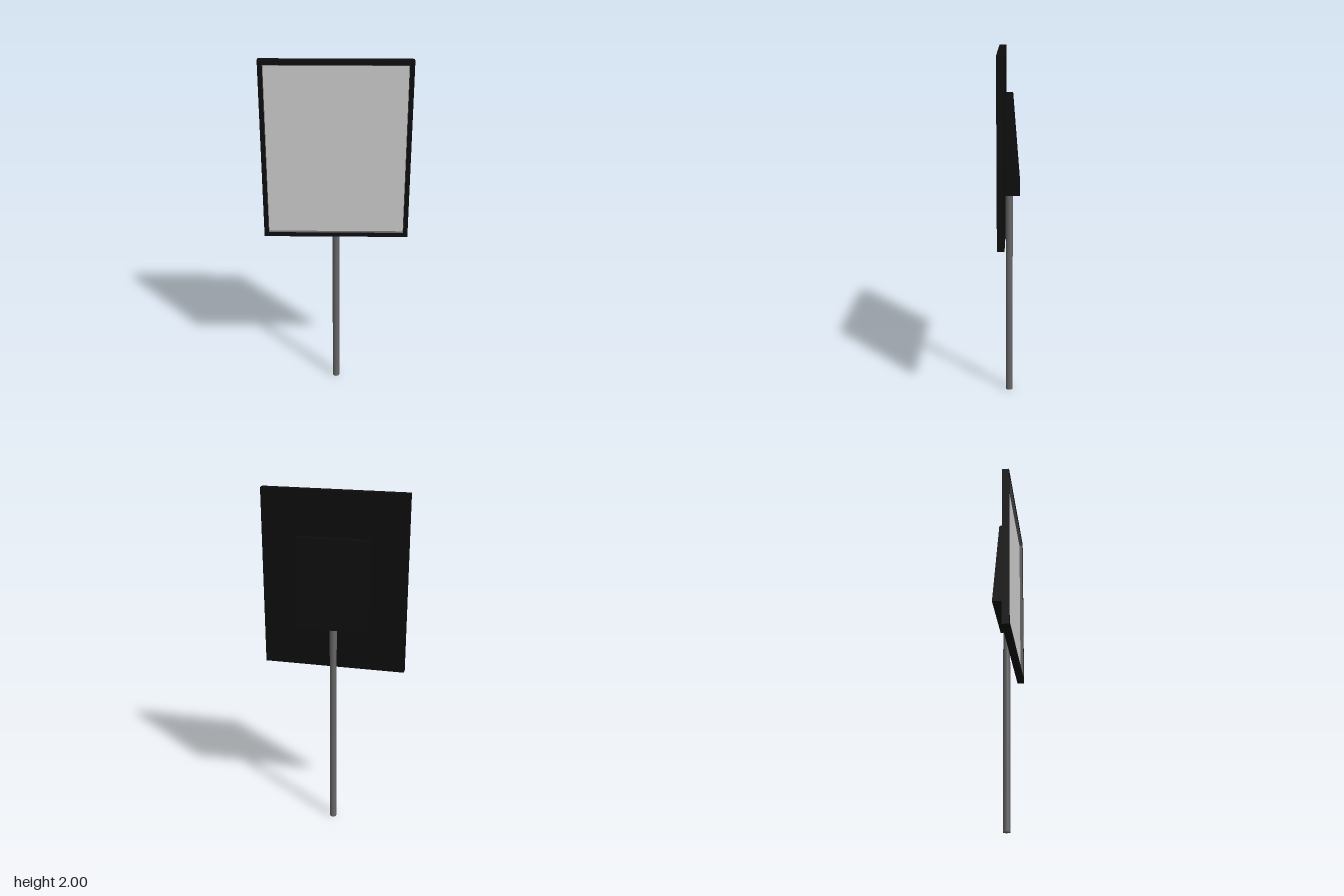
import * as THREE from 'three';

const W = 0.8, H = 1, MID_Y = 1.5;      // panel size and centre height
const BACK = 0.02, SCREEN = 0.04, FRONT = 0.06; // panel depths along z
const BORDER = 0.025;

function mat(color) {
  return new THREE.MeshStandardMaterial({ color });
}

function addMesh(group, name, geometry, material) {
  const mesh = new THREE.Mesh(geometry, material);
  mesh.name = name;
  group.add(mesh);
  return mesh;
}

function rectPath(path, w, h) {
  path.moveTo(-w / 2, -h / 2);
  path.lineTo(w / 2, -h / 2);
  path.lineTo(w / 2, h / 2);
  path.lineTo(-w / 2, h / 2);
  path.closePath();
  return path;
}

// Rectangular ring of the given border width, extruded from z0 to z1
function ring(w, h, border, z0, z1) {
  const shape = rectPath(new THREE.Shape(), w, h);
  shape.holes.push(rectPath(new THREE.Path(), w - 2 * border, h - 2 * border));
  return new THREE.ExtrudeGeometry(shape, { depth: z1 - z0, bevelEnabled: false })
    .translate(0, MID_Y, z0);
}

export function createModel() {
  const model = new THREE.Group();
  model.name = 'displayStand';
  const black = mat(0x0d0d0d), grey = mat(0xcccccc), metal = mat(0x666666);

  // Panel: back plate, raised frame, grey lining of the recess, screen
  addMesh(model, 'backPlate',
    new THREE.BoxGeometry(W, H, SCREEN - BACK).translate(0, MID_Y, (BACK + SCREEN) / 2), black);
  addMesh(model, 'frame', ring(W, H, BORDER, SCREEN, FRONT), black);
  const innerW = W - 2 * BORDER, innerH = H - 2 * BORDER;
  addMesh(model, 'recessLining', ring(innerW, innerH, 0.001, SCREEN, FRONT - 0.001), metal);
  addMesh(model, 'screen',
    new THREE.PlaneGeometry(innerW, innerH).translate(0, MID_Y, SCREEN + 0.001), grey);

  // Wedge housing on the back, thicker at the bottom: profile in (z, y)
  const profile = new THREE.Shape([[-0.06, 1.25], [BACK, 1.25], [BACK, 1.75], [-0.02, 1.75]]
    .map(([z, y]) => new THREE.Vector2(z, y)));
  addMesh(model, 'rearHousing',
    new THREE.ExtrudeGeometry(profile, { depth: 0.4, bevelEnabled: false })
      .rotateY(-Math.PI / 2).translate(0.2, 0, 0), black);

  // Pole from the ground up to the housing
  addMesh(model, 'pole',
    new THREE.CylinderGeometry(0.02, 0.02, 1.25, 16).translate(0, 0.625, 0), metal);

  return model;
}
